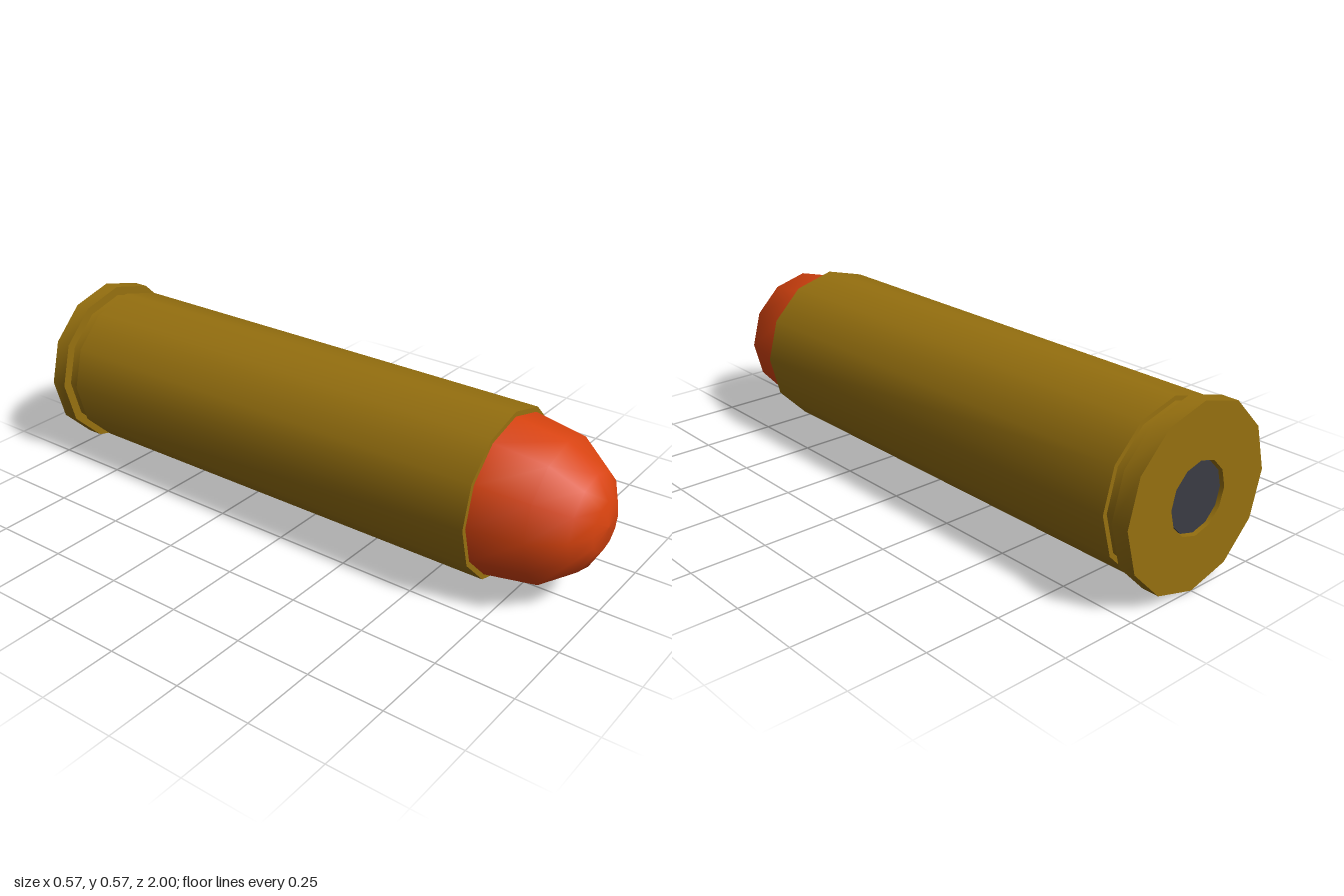
import * as THREE from 'three';
import { toCreasedNormals } from 'three/addons/utils/BufferGeometryUtils.js';

const SIDES = 12;
const AXIS_HEIGHT = 0.286;

// Turned part around the z axis; profile is [radius, z] from back to front
function turned(name, profile, color, crease) {
  const points = profile.map(([r, z]) => new THREE.Vector2(r, z));
  let geometry = new THREE.LatheGeometry(points, SIDES).rotateX(Math.PI / 2);
  if (crease) geometry = toCreasedNormals(geometry, crease);
  const mesh = new THREE.Mesh(geometry, new THREE.MeshStandardMaterial({ color }));
  mesh.name = name;
  mesh.position.y = AXIS_HEIGHT;
  return mesh;
}

export function createModel() {
  const group = new THREE.Group();
  group.name = 'cartridge';

  // Brass case: primer pocket, rim, extractor groove, body and mouth
  group.add(turned('case', [
    [0, -0.97], [0.113, -0.97], [0.113, -1], [0.286, -1], [0.286, -0.945],
    [0.255, -0.945], [0.255, -0.9], [0.27, -0.9], [0.27, 0.68], [0.25, 0.68],
  ], 0x96700f, 0.65));

  // Primer seated in the pocket
  group.add(turned('primer', [
    [0, -0.99], [0.107, -0.99], [0.107, -0.97],
  ], 0x3a3c44, 0.65));

  // Rounded bullet seated in the mouth
  group.add(turned('bullet', [
    [0.255, 0.66], [0.254, 0.68], [0.227, 0.85], [0.153, 0.95], [0.08, 0.99], [0, 1],
  ], 0xd8430f));

  return group;
}
